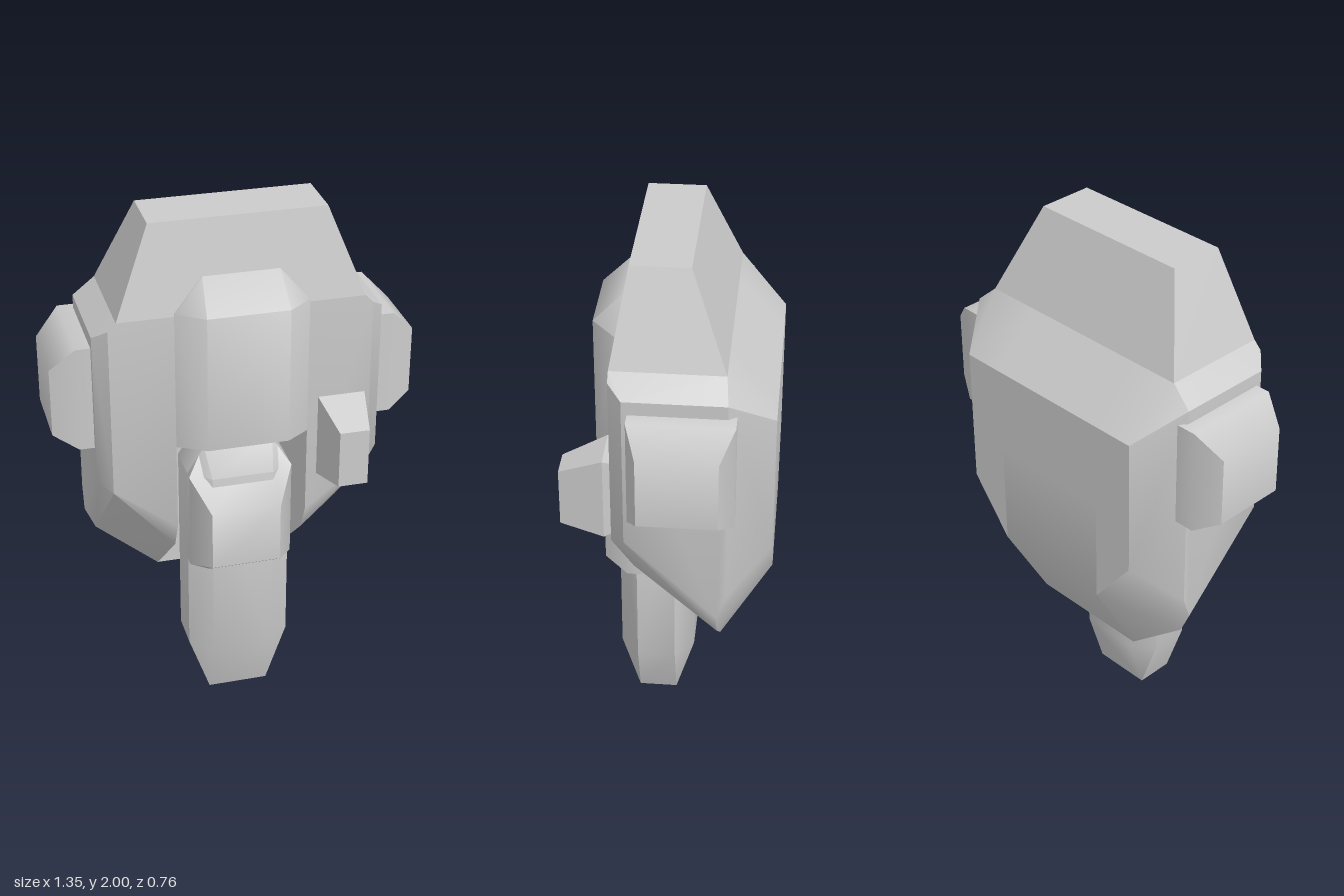
import * as THREE from 'three';
import { ConvexGeometry } from 'three/addons/geometries/ConvexGeometry.js';
import { toCreasedNormals } from 'three/addons/utils/BufferGeometryUtils.js';

const material = new THREE.MeshStandardMaterial({ color: 0xcccccc });

// Faceted solid spanned by a few corner points, with soft shallow edges
function solid(name, corners, crease = 0.6) {
  const points = corners.map(([x, y, z]) => new THREE.Vector3(x, y, z));
  const mesh = new THREE.Mesh(toCreasedNormals(new ConvexGeometry(points), crease), material);
  mesh.name = name;
  return mesh;
}

// Adds the x-mirrored twin of every corner
const both = (corners) => corners.flatMap(([x, y, z]) => [[x, y, z], [-x, y, z]]);
const flip = (corners, side) => corners.map(([x, y, z]) => [x * side, y, z]);

export function createModel() {
  const model = new THREE.Group();
  model.name = 'head';

  // Crown tapering to a flat top
  model.add(solid('crown', both([
    [0.32, 2, 0.13], [0.32, 2, -0.08],
    [0.45, 1.67, 0.19], [0.45, 1.67, -0.21],
  ])));

  // Middle of the face above the mouth slot
  const w = 0.245;
  model.add(solid('faceCentre', both([
    [w, 1.67, 0.19], [w, 1.67, -0.21], [w, 1.48, -0.38],
    [w, 1.15, -0.38], [w, 1.15, 0.19],
  ])));

  // Back of the jaw, closing the mouth slot from behind
  model.add(solid('jawBack', both([
    [w, 1.15, -0.19], [w, 1.15, -0.38], [w, 0.74, -0.38], [w, 0.4, -0.19],
  ])));

  // Cheeks, with chamfered edges and a chin sloping backward
  const cheek = [
    [w, 1.67, 0.19], [w, 1.67, -0.21], [w, 1.48, -0.38],
    [w, 0.74, -0.38], [w, 0.4, -0.19], [w, 0.7, 0.14], [w, 0.81, 0.19],
    [0.45, 1.67, 0.19], [0.45, 1.67, -0.21],
    [0.48, 1.64, 0.19], [0.53, 1.6, 0.14], [0.53, 1.6, -0.22],
    [0.41, 1.48, -0.38], [0.41, 0.95, -0.38],
    [0.48, 0.99, 0.19], [0.53, 1.02, 0.14],
    [0.53, 0.79, -0.22], [0.53, 0.7, -0.19], [0.49, 0.61, -0.19],
  ];

  // Ears: blocks with a bevelled outer face
  const ear = [];
  for (const x of [0.48, 0.585])
    for (const y of [1.15, 1.55])
      for (const z of [0.12, -0.25]) ear.push([x, y, z]);
  for (const y of [1.2, 1.46])
    for (const z of [0.08, -0.2]) ear.push([0.675, y, z]);

  for (const [side, label] of [[1, 'left'], [-1, 'right']]) {
    model.add(solid(label + 'Cheek', flip(cheek, side)));
    model.add(solid(label + 'Ear', flip(ear, side), 0.8));
  }

  // Raised nose panel
  model.add(solid('nose', both([
    [w, 1.15, 0.1], [w, 1.15, 0.19], [w, 1.68, 0.1], [w, 1.68, 0.19],
    [0.14, 1.8, 0.1], [0.14, 1.8, 0.17],
    [0.15, 1.69, 0.28], [0.15, 1.17, 0.28],
  ]), 0.8));

  // Small knob on the left cheek
  const knob = [];
  for (const [x0, x1, y0, y1, z] of [
    [0.3, 0.43, 0.99, 1.28, 0.18],
    [0.275, 0.45, 0.98, 1.3, 0.22],
    [0.31, 0.42, 1.01, 1.23, 0.38],
  ]) knob.push([x0, y0, z], [x1, y0, z], [x0, y1, z], [x1, y1, z]);
  model.add(solid('knob', knob));

  // Long hanging tongue with an eight-sided section and tapered ends
  const tongue = [];
  for (const y of [0.23, 1.0])
    tongue.push([0.195, y, 0.135], [0.195, y, -0.01], [0.115, y, 0.205], [0.115, y, -0.08]);
  for (const [x, y] of [[0.115, 0], [0.13, 1.1]])
    tongue.push([x, y, 0.135], [x, y, -0.01]);
  model.add(solid('tongue', both(tongue), 0.8));

  // Swelling on the upper front of the tongue
  model.add(solid('tongueBulge', both([
    [0.13, 0.65, 0.26], [0.13, 0.88, 0.26],
    [0.195, 0.62, 0.17], [0.195, 1.0, 0.17], [0.13, 0.61, 0.205],
    [0.13, 1.1, 0.12], [0.195, 0.62, 0.1], [0.195, 1.0, 0.1],
  ]), 0.8));

  return model;
}
